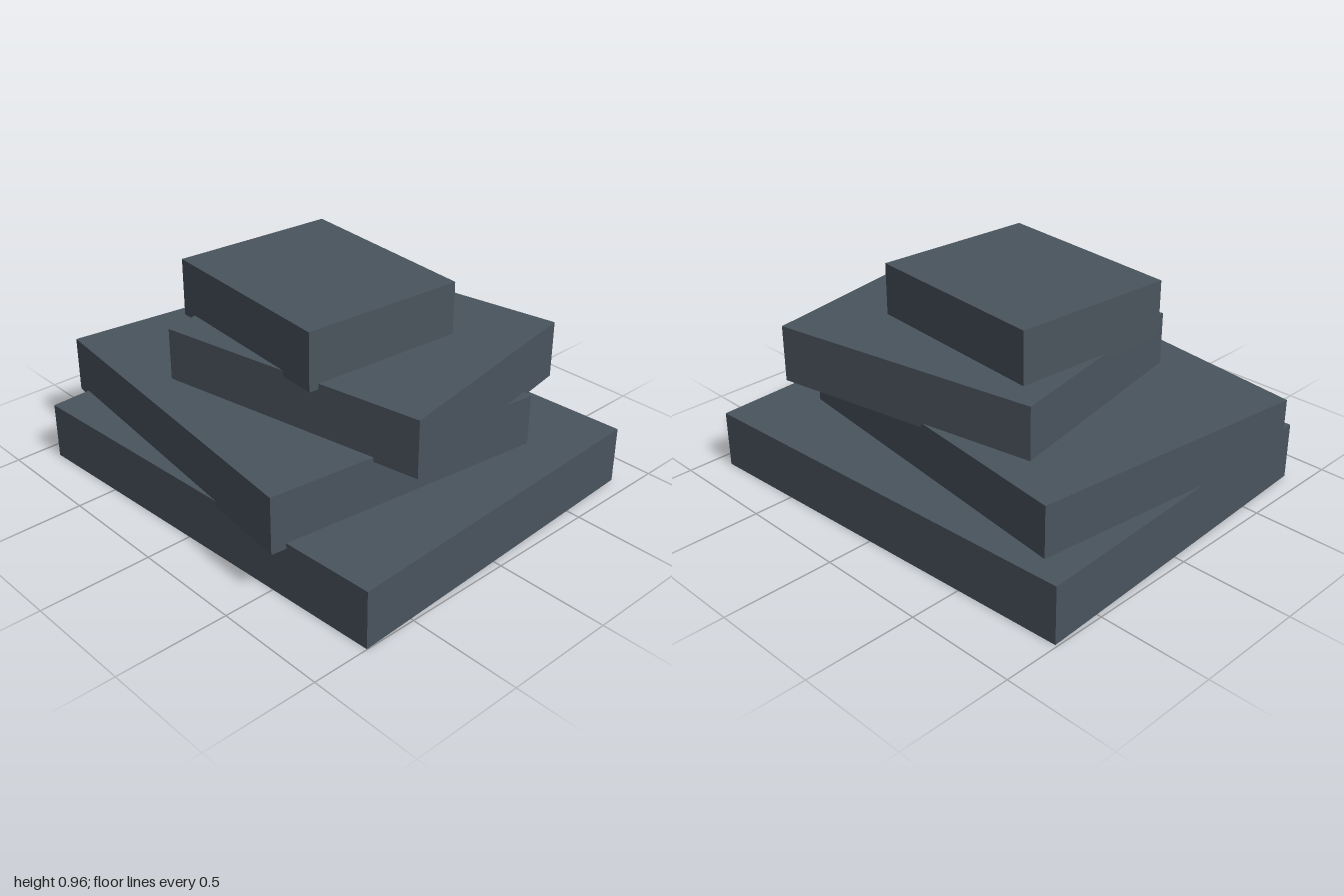
import * as THREE from 'three';

export function createModel() {
  const model = new THREE.Group();
  model.name = 'stackedSlabs';

  const slate = new THREE.MeshStandardMaterial({ color: 0x4a545e });
  slate.name = 'slate grey';

  // Four slabs, each twisted and sunk slightly into the one below
  const slabs = [
    { name: 'baseSlab', size: [1.912, 0.26, 1.582], at: [0.004, 0.13, 0], turn: 0.05 },
    { name: 'lowerSlab', size: [1.584, 0.255, 1.3], at: [-0.136, 0.3625, 0.09], turn: -0.12 },
    { name: 'upperSlab', size: [1.256, 0.255, 1.027], at: [0.12, 0.5975, -0.071], turn: 0.18 },
    { name: 'topSlab', size: [0.884, 0.258, 0.747], at: [-0.044, 0.83, 0.043], turn: -0.08 },
  ];

  for (const { name, size, at, turn } of slabs) {
    const slab = new THREE.Mesh(new THREE.BoxGeometry(...size), slate);
    slab.name = name;
    slab.position.set(...at);
    slab.rotation.y = turn;
    model.add(slab);
  }

  return model;
}
